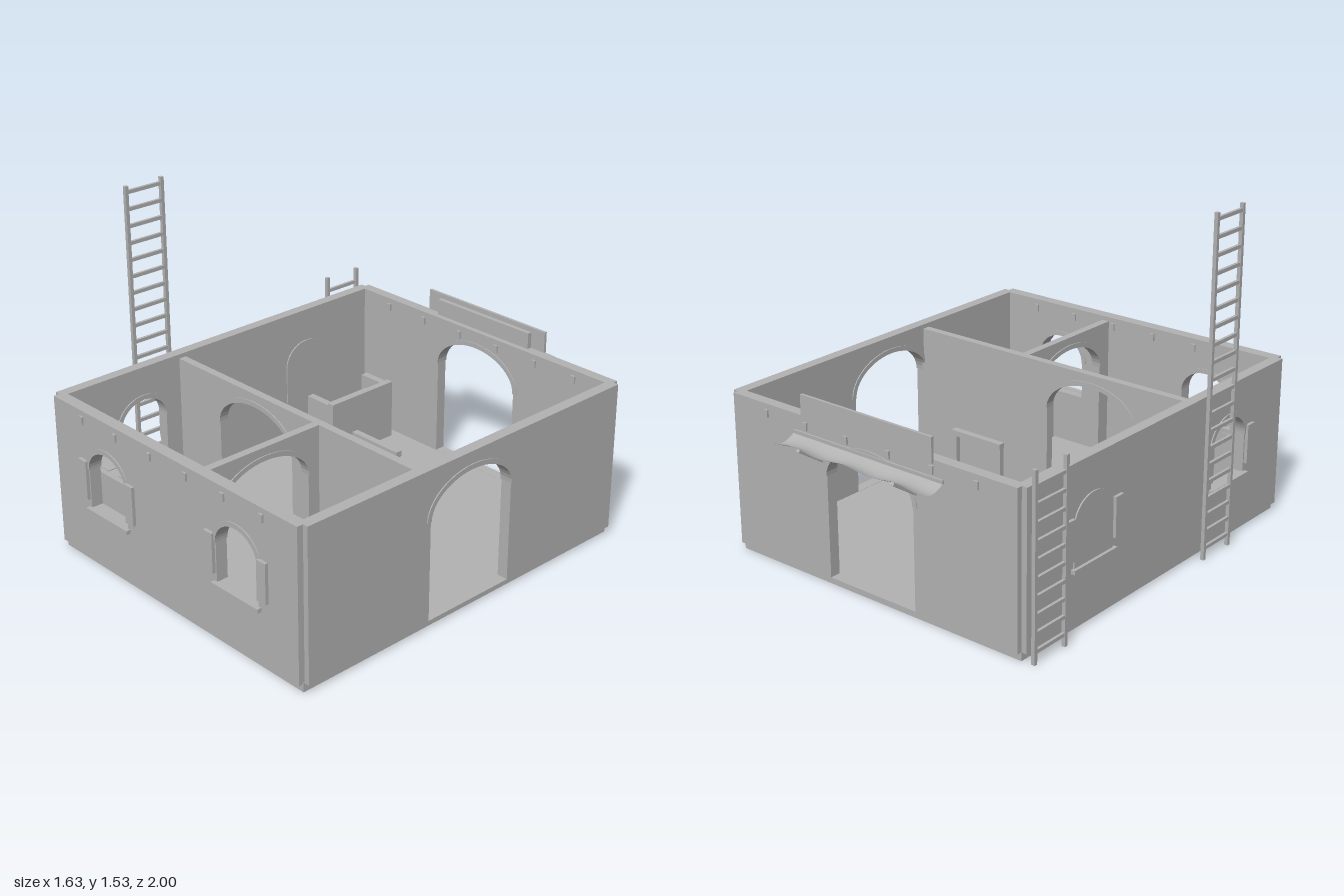
import * as THREE from 'three';

export function createModel() {
  const model = new THREE.Group();
  const stone = new THREE.MeshStandardMaterial({ color: 0xb2b2b2 });
  stone.name = 'grey plaster';
  stone.side = THREE.DoubleSide;

  const add = (name, geo, parent = model) => {
    const m = new THREE.Mesh(geo, stone);
    m.name = name;
    parent.add(m);
    return m;
  };
  // box given by its limits
  const box = (name, x0, x1, y0, y1, z0, z1, parent = model) => {
    const m = add(name, new THREE.BoxGeometry(x1 - x0, y1 - y0, z1 - z0), parent);
    m.position.set((x0 + x1) / 2, (y0 + y1) / 2, (z0 + z1) / 2);
    return m;
  };
  const slab = (shape, depth) => new THREE.ExtrudeGeometry(shape, { depth, bevelEnabled: false, curveSegments: 12 })
    .translate(0, 0, -depth / 2);

  const BASE = 0.036, TOP = 0.73;
  const door = (u) => ({ u, half: 0.235, bottom: 0.042, spring: 0.5, rise: 0.152 });
  const win = (u, blind = false) => ({ u, half: 0.125, bottom: 0.286, spring: 0.465, rise: 0.112, window: true, blind });

  // arched outline, used for openings and blind panels
  const trace = (path, o) => {
    path.moveTo(o.u - o.half, o.bottom);
    path.lineTo(o.u + o.half, o.bottom);
    path.lineTo(o.u + o.half, o.spring);
    path.absellipse(o.u, o.spring, o.half, o.rise, 0, Math.PI, false);
    path.lineTo(o.u - o.half, o.bottom);
    return path;
  };

  // wall running along local x, outer face on local +z
  function wall(name, u0, u1, top, t, openings, pegs = []) {
    const g = new THREE.Group();
    g.name = name;
    const s = new THREE.Shape();
    s.moveTo(u0, BASE);
    s.lineTo(u1, BASE);
    s.lineTo(u1, top);
    s.lineTo(u0, top);
    s.closePath();
    for (const o of openings) {
      if (o.blind) add('blindPanel', slab(trace(new THREE.Shape(), o), t + 0.012), g);
      else {
        s.holes.push(trace(new THREE.Path(), o));
        // thin band over the arch
        const band = new THREE.Shape();
        const w = 0.022;
        band.absellipse(o.u, o.spring, o.half + w, o.rise + w, 0, Math.PI, false);
        band.lineTo(o.u - o.half, o.spring);
        band.absellipse(o.u, o.spring, o.half, o.rise, Math.PI, 0, true);
        band.closePath();
        add('archBand', slab(band, t + 0.01), g);
      }
      if (o.window) {
        box('windowSill', o.u - 0.14, o.u + 0.14, 0.27, 0.288, t / 2 - 0.01, t / 2 + 0.02, g);
        for (const k of [-1, 1]) {
          const c = o.u + k * 0.158;
          box('shutter', c - 0.026, c + 0.026, 0.325, 0.505, t / 2, t / 2 + 0.015, g);
        }
      }
    }
    add('wallPanel', slab(s, t), g);
    for (const u of pegs) box('beamEnd', u - 0.011, u + 0.011, 0.67, 0.705, -t / 2 - 0.009, t / 2 + 0.009, g);
    model.add(g);
    return g;
  }

  // floor and outer walls
  box('floorSlab', -0.755, 0.785, 0, 0.041, -0.845, 0.958);
  const pegs = [-0.555, -0.327, -0.099, 0.129, 0.356, 0.583];
  wall('frontWall', -0.752, 0.782, TOP, 0.055, [win(-0.397), win(0.43)], pegs).position.z = 0.951;
  const back = wall('backWall', -0.782, 0.752, TOP, 0.05, [door(-0.007)], pegs.map((p) => -p));
  back.position.z = -0.841;
  back.rotation.y = Math.PI;
  const left = wall('windowSideWall', -0.842, 0.95, TOP, 0.05, [win(-0.43, true), win(0.535)]);
  left.position.x = -0.752;
  left.rotation.y = -Math.PI / 2;
  const right = wall('doorSideWall', -0.95, 0.842, TOP, 0.052, [door(-0.064)]);
  right.position.x = 0.781;
  right.rotation.y = Math.PI / 2;

  // inner partitions
  wall('crossPartition', -0.735, 0.765, 0.71, 0.037, [door(-0.215)]).position.z = 0.308;
  const split = wall('roomPartition', 0.32, 0.93, 0.71, 0.037, [door(0.62)]);
  split.position.x = 0.17;
  split.rotation.y = -Math.PI / 2;

  // ladders on the window side
  function ladder(name, z, height, rungTop) {
    const g = new THREE.Group();
    g.name = name;
    for (const k of [-1, 1])
      box('ladderRail', -0.817, -0.8, 0, height, z + k * 0.094 - 0.008, z + k * 0.094 + 0.008, g);
    for (let y = rungTop; y > 0.03; y -= 0.0765)
      box('ladderRung', -0.815, -0.802, y - 0.008, y + 0.008, z - 0.094, z + 0.094, g);
    model.add(g);
  }
  ladder('tallLadder', 0.415, 1.535, 1.507);
  ladder('shortLadder', -0.74, 0.81, 0.742);

  // boards above the back door
  box('outerBoard', -0.338, 0.37, 0.715, 0.827, -0.877, -0.864);
  box('innerBoard', -0.262, 0.293, 0.72, 0.805, -0.864, -0.842);

  // sagging cloth awning with two struts
  const cloth = new THREE.PlaneGeometry(0.81, 0.134, 32, 8).rotateX(-Math.PI / 2);
  const p = cloth.attributes.position;
  for (let i = 0; i < p.count; i++) {
    const t = p.getZ(i) / 0.134 + 0.5;
    const wave = 0.007 * Math.cos(p.getX(i) * 23) * (1 - t);
    p.setY(i, 0.65 - 0.024 * Math.sin(Math.PI * t) + wave);
  }
  cloth.translate(0.015, 0, -0.933);
  cloth.computeVertexNormals();
  add('awningCloth', cloth);
  for (const x of [-0.24, 0.27]) {
    const strut = add('awningStrut', new THREE.BoxGeometry(0.016, 0.014, 0.158));
    strut.position.set(x, 0.602, -0.928);
    strut.rotation.x = Math.atan2(0.085, 0.13);
  }
  box('awningRail', -0.39, 0.42, 0.645, 0.66, -0.875, -0.864);

  // well with a crossbar on two posts
  const ring = [[0.066, 0.041], [0.095, 0.041], [0.095, 0.147], [0.066, 0.147], [0.066, 0.041]];
  const flat = new THREE.LatheGeometry(ring.map((q) => new THREE.Vector2(...q)), 24).toNonIndexed();
  flat.computeVertexNormals();
  add('wellRing', flat).position.set(0.105, 0, -0.09);
  for (const x of [-0.018, 0.228]) box('wellPost', x - 0.012, x + 0.012, 0.041, 0.45, -0.1, -0.077);
  box('wellCrossbar', -0.032, 0.242, 0.437, 0.462, -0.104, -0.073);

  // counter in the main room
  box('counterFront', -0.52, -0.487, 0.041, 0.33, -0.77, -0.38);
  for (const z of [-0.77, -0.415]) box('counterEnd', -0.662, -0.487, 0.041, 0.32, z, z + 0.035);
  box('counterShelf', -0.64, -0.51, 0.24, 0.255, -0.75, -0.4);

  // kitchen cabinet with two plates and a small basin
  box('cabinet', -0.662, -0.36, 0.041, 0.41, 0.77, 0.9);
  for (const [a, b] of [[-0.6, -0.545], [-0.478, -0.388]]) box('cookPlate', a, b, 0.409, 0.414, 0.79, 0.868);
  box('cabinetSide', -0.708, -0.6, 0.041, 0.39, 0.765, 0.87);
  box('cabinetBackRail', -0.665, -0.36, 0.4, 0.425, 0.885, 0.91);

  // chest in the second room
  box('chest', 0.47, 0.742, 0.041, 0.4, 0.802, 0.915);
  for (const x of [0.592, 0.618]) box('chestKnob', x - 0.006, x + 0.006, 0.22, 0.235, 0.788, 0.803);

  return model;
}
